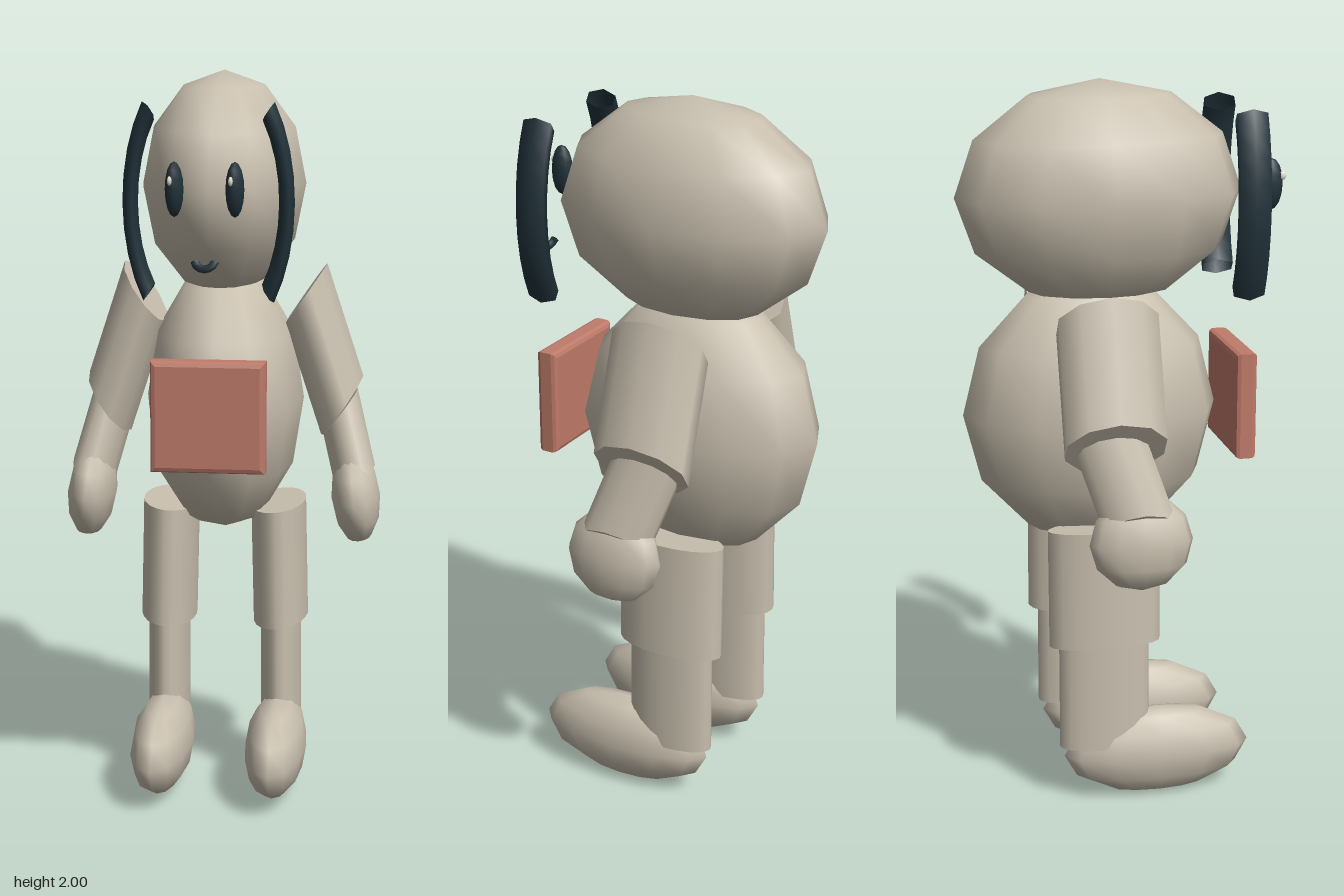
import * as THREE from 'three';

const mat = (name, color, side = THREE.FrontSide) => {
  const m = new THREE.MeshStandardMaterial({ color, side });
  m.name = name;
  return m;
};

export function createModel() {
  const model = new THREE.Group();
  model.name = 'figure';
  const skin = mat('warm beige', 0xc8bfae);
  const dark = mat('dark slate', 0x21323a, THREE.DoubleSide);
  const panel = mat('dusty red', 0xbf7b6a);
  const glint = mat('pale cream', 0xe8e2d2);

  const add = (name, geometry, material) => {
    const mesh = new THREE.Mesh(geometry, material);
    mesh.name = name;
    model.add(mesh);
    return mesh;
  };

  // Stretched sphere: centre, radii, optional roll about z
  const ellipsoid = (name, c, r, material = skin, roll = 0, w = 12, h = 6) => {
    const mesh = add(name, new THREE.SphereGeometry(1, w, h), material);
    mesh.position.set(...c);
    mesh.scale.set(...r);
    mesh.rotation.z = roll;
    return mesh;
  };

  // Slanted oval cylinder: end centres, sideways end vector (x, y) and depth radius
  const limb = (name, top, bottom, endX, endY, depth, sides) => {
    const a = new THREE.Vector3(...top), b = new THREE.Vector3(...bottom);
    const matrix = new THREE.Matrix4().makeBasis(
      new THREE.Vector3(endX, endY, 0),
      a.clone().sub(b),
      new THREE.Vector3(0, 0, depth)
    );
    matrix.setPosition(a.add(b).multiplyScalar(0.5));
    const g = new THREE.CylinderGeometry(1, 1, 1, sides);
    g.rotateY(Math.PI / 2); // puts a corner on the outer side
    add(name, g.applyMatrix4(matrix), skin);
  };

  // Head and body
  ellipsoid('head', [0, 1.697, -0.052], [0.224, 0.303, 0.392]);
  ellipsoid('body', [0, 1.1, -0.08], [0.22, 0.377, 0.353]);

  for (const s of [-1, 1]) {
    const side = s > 0 ? 'left' : 'right';

    // Arms
    limb(side + 'UpperArm', [s * 0.224, 1.391, -0.08], [s * 0.327, 1.078, -0.08], 0.058, s * 0.084, 0.14, 10);
    limb(side + 'Forearm', [s * 0.322, 1.062, -0.085], [s * 0.375, 0.86, -0.02], 0.048, s * 0.063, 0.1, 12);
    ellipsoid(side + 'Hand', [s * 0.371, 0.834, -0.022], [0.068, 0.132, 0.14], skin, s * 0.1, 12, 6);

    // Legs
    limb(side + 'UpperLeg', [s * 0.152, 0.802, -0.075], [s * 0.16, 0.468, -0.075], 0.077, s * 0.008, 0.156, 20);
    limb(side + 'LowerLeg', [s * 0.16, 0.48, -0.077], [s * 0.162, 0.163, -0.077], 0.057, 0, 0.127, 20);
    ellipsoid(side + 'Foot', [s * 0.16, 0.131, 0.075], [0.086, 0.128, 0.266]);

    // Curved ear strip in front of the head
    const half = 0.7;
    const ring = new THREE.TorusGeometry(1, 0.1, 6, 8, half * 2);
    ring.rotateZ(-half + (s < 0 ? Math.PI : 0));
    ring.scale(0.202, 0.36, 0.49);
    add(side + 'Ear', ring, dark).position.set(0, 1.675, 0.322);

    // Eye with a small glint
    ellipsoid(side + 'Eye', [s * 0.077, 1.715, 0.402], [0.024, 0.07, 0.033], dark, 0, 8, 8);
    ellipsoid(side + 'EyeGlint', [s * 0.077 - 0.008, 1.738, 0.432], [0.006, 0.012, 0.01], glint, 0, 8, 6);
  }

  // Mouth arc, lower edge leaning forward
  const arc = Math.PI * 0.85;
  const smile = new THREE.TorusGeometry(0.026, 0.011, 6, 6, arc);
  smile.rotateZ(-Math.PI / 2 - arc / 2);
  smile.rotateX(-0.5);
  add('mouth', smile, dark).position.set(0, 1.537, 0.395);

  // Bevelled chest panel
  const w = 0.137, h = 0.134;
  const shape = new THREE.Shape([[-w, -h], [w, -h], [w, h], [-w, h]].map(p => new THREE.Vector2(...p)));
  const plate = new THREE.ExtrudeGeometry(shape, {
    depth: 0.034, bevelEnabled: true, bevelThickness: 0.013, bevelSize: 0.014, bevelSegments: 2
  });
  add('chestPanel', plate, panel).position.set(0, 1.118, 0.308);

  return model;
}
